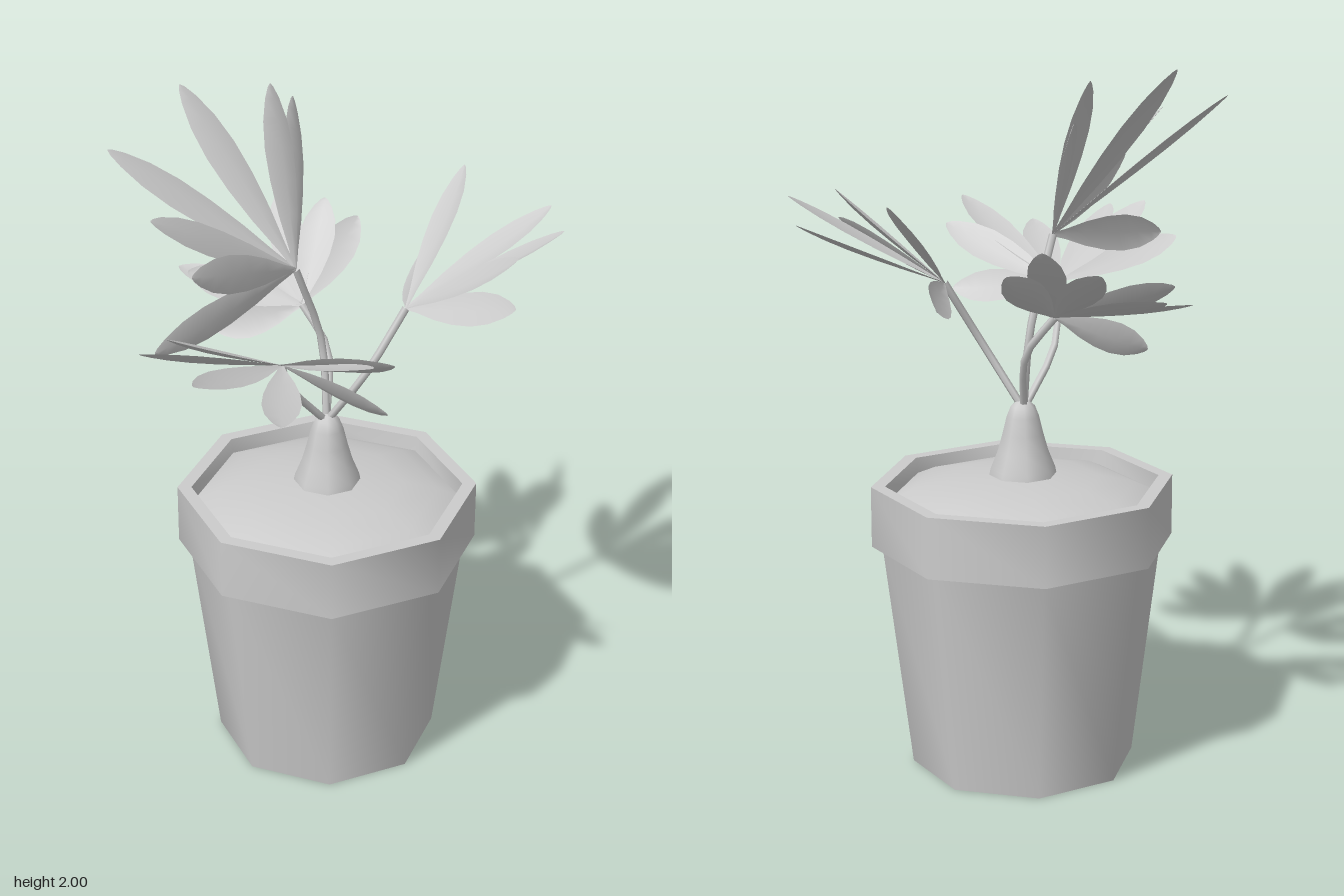
import * as THREE from 'three';
import { toCreasedNormals } from 'three/addons/utils/BufferGeometryUtils.js';

const V = (a) => new THREE.Vector3(...a);
const CENTRE_Z = -0.065;

const grey = new THREE.MeshStandardMaterial({ color: 0xcccccc });
const greyThin = new THREE.MeshStandardMaterial({ color: 0xcccccc, side: THREE.DoubleSide });

function turned(name, profile, sides, crease) {
  const points = profile.map(([r, y]) => new THREE.Vector2(r, y));
  const geo = new THREE.LatheGeometry(points, sides);
  const mesh = new THREE.Mesh(crease ? toCreasedNormals(geo, crease) : geo, grey);
  mesh.name = name;
  mesh.position.z = CENTRE_Z;
  return mesh;
}

// Each branch: bend point, hub at its end, leaf tips in order around the fan
const branches = [
  {
    name: 'front',
    bend: [-0.005, 1.2, 0.08], hub: [0.08, 1.35, 0.2],
    tips: [[0.41, 1.3, 0.14], [0.465, 1.48, 0.18], [0.51, 1.54, 0.315], [0.43, 1.44, 0.56],
      [0.2, 1.5, 0.64], [0.02, 1.54, 0.56], [-0.1, 1.45, 0.55]],
  },
  {
    name: 'top',
    bend: [-0.04, 1.27, -0.085], hub: [-0.045, 1.53, 0.015],
    tips: [[-0.3, 1.89, -0.24], [-0.25, 1.98, -0.1], [-0.385, 2.0, 0.11], [-0.37, 1.9, 0.39],
      [-0.07, 1.83, 0.52], [0.03, 1.69, 0.475], [-0.06, 1.46, 0.53]],
  },
  {
    name: 'right',
    bend: [-0.065, 1.22, -0.135], hub: [-0.155, 1.335, -0.125],
    tips: [[-0.355, 1.245, 0.03], [-0.415, 1.42, 0.07], [-0.505, 1.39, 0.02], [-0.56, 1.44, -0.19],
      [-0.45, 1.52, -0.33], [-0.27, 1.56, -0.34], [-0.205, 1.5, -0.41]],
  },
  {
    name: 'backLeft',
    bend: [0.11, 1.22, -0.105], hub: [0.165, 1.405, -0.205],
    tips: [[-0.04, 1.4, -0.49], [0.045, 1.68, -0.58], [0.31, 1.615, -0.645], [0.49, 1.65, -0.475],
      [0.5, 1.64, -0.27], [0.56, 1.54, -0.19]],
  },
];

// Leaf outline: position along the midrib and half width
const OUTLINE = [[0, 0.005], [0.12, 0.015], [0.3, 0.035], [0.48, 0.048], [0.65, 0.052],
  [0.8, 0.044], [0.92, 0.026], [0.98, 0.011], [1, 0.002]];

// Thin leaf, folded gently along its midrib
function leafGeometry(hub, tip, normal) {
  const along = tip.clone().sub(hub);
  const side = normal.clone().cross(along).normalize();
  const up = along.clone().cross(side).normalize();
  const pos = [], index = [];
  OUTLINE.forEach(([t, w], i) => {
    for (let c = -1; c <= 1; c++) {
      const p = hub.clone().addScaledVector(along, t)
        .addScaledVector(side, c * w)
        .addScaledVector(up, c === 0 ? -0.22 * w : 0);
      pos.push(p.x, p.y, p.z);
      if (i > 0 && c < 1) {
        const b = i * 3 + c + 1, a = b - 3;
        index.push(a, a + 1, b, a + 1, b + 1, b);
      }
    }
  });
  const geo = new THREE.BufferGeometry();
  geo.setAttribute('position', new THREE.Float32BufferAttribute(pos, 3));
  geo.setIndex(index);
  geo.computeVertexNormals();
  return geo;
}

function makeBranch({ name, bend, hub, tips }) {
  const group = new THREE.Group();
  group.name = name + 'Branch';
  const root = V([-0.003, 1.04, CENTRE_Z]), end = V(hub);

  // Bent stem
  const curve = new THREE.CatmullRomCurve3([root, V(bend), end]);
  const stem = new THREE.Mesh(new THREE.TubeGeometry(curve, 6, 0.011, 6), grey);
  stem.name = 'stem';
  group.add(stem);

  // Fan of leaves, each facing across its neighbours
  const dirs = tips.map((t) => V(t).sub(end).normalize());
  const fan = new THREE.Vector3();
  for (let i = 1; i < dirs.length; i++) fan.add(dirs[i].clone().cross(dirs[i - 1]));
  fan.normalize();
  tips.forEach((tip, i) => {
    const prev = dirs[Math.max(i - 1, 0)], next = dirs[Math.min(i + 1, dirs.length - 1)];
    const normal = next.clone().sub(prev).cross(dirs[i]).normalize().addScaledVector(fan, 0.7);
    const leaf = new THREE.Mesh(leafGeometry(end, V(tip), normal), greyThin);
    leaf.name = 'leaf';
    group.add(leaf);
  });
  return group;
}

export function createModel() {
  const model = new THREE.Group();
  model.name = 'pottedPlant';

  // Eight-sided pot with an overhanging rim
  model.add(turned('pot', [[0, 0], [0.32, 0], [0.4, 0.655], [0.43, 0.655], [0.43, 0.83],
    [0.39, 0.83], [0.38, 0.76]], 8, 0.87));

  // Mounded soil
  model.add(turned('soil', [[0.385, 0.785], [0.32, 0.815], [0.22, 0.838], [0.1, 0.852], [0, 0.855]], 8));

  // Swollen trunk
  model.add(turned('trunk', [[0.1, 0.83], [0.092, 0.87], [0.072, 0.92], [0.058, 0.97], [0.046, 1.02],
    [0.034, 1.05], [0.018, 1.063], [0, 1.066]], 8));

  branches.forEach((b) => model.add(makeBranch(b)));
  return model;
}
